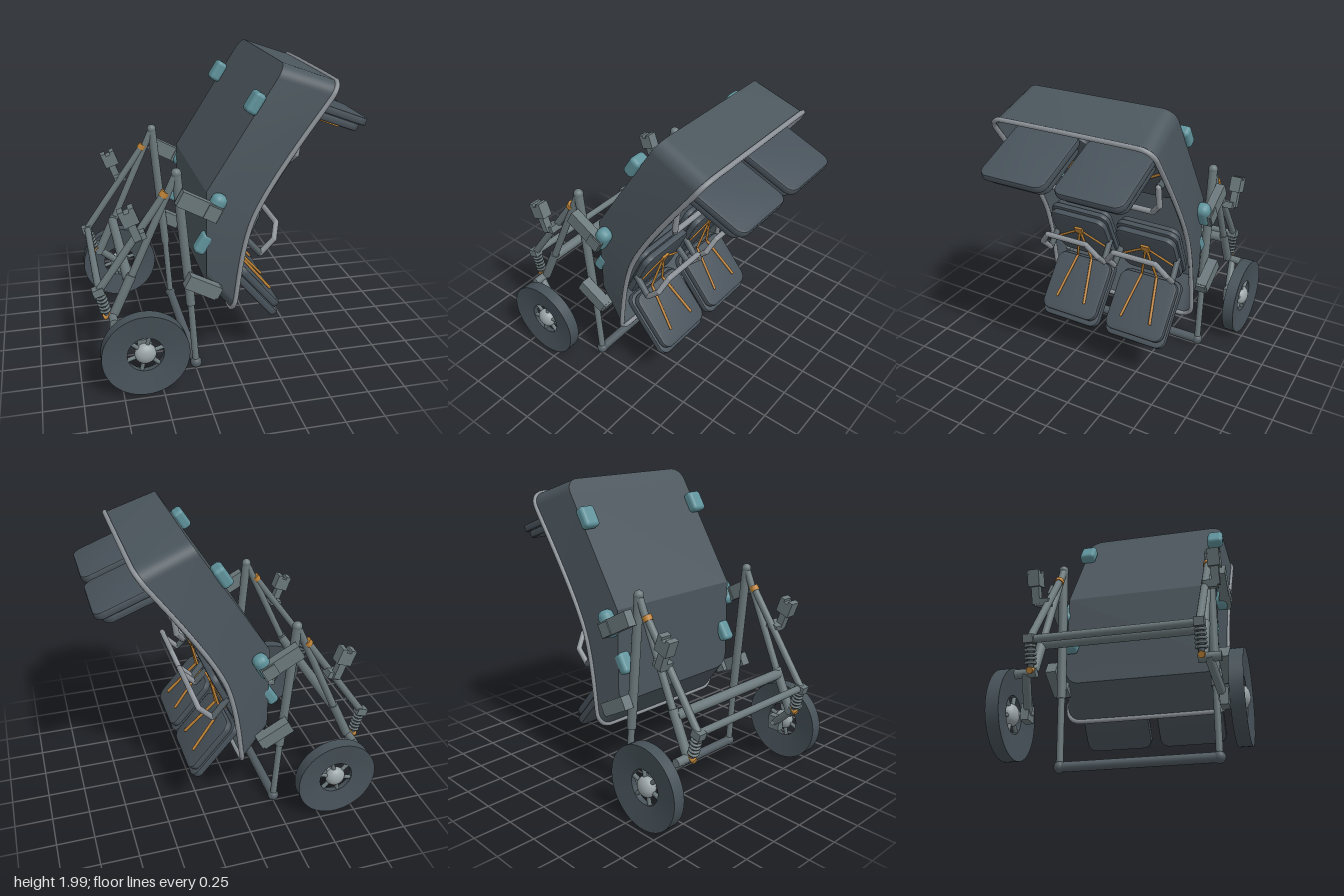
import * as THREE from 'three';
import { toCreasedNormals } from 'three/addons/utils/BufferGeometryUtils.js';
import { RoundedBoxGeometry } from 'three/addons/geometries/RoundedBoxGeometry.js';

const V = (x, y, z) => new THREE.Vector3(x, y, z);
const mat = (name, color, side = THREE.FrontSide) => {
  const m = new THREE.MeshStandardMaterial({ color, side });
  m.name = name;
  return m;
};

export function createModel() {
  const shellMat = mat('slate shell', 0x4b565d, THREE.DoubleSide);
  const padMat = mat('dark upholstery', 0x48525a);
  const tyreMat = mat('tyre', 0x465158);
  const frameMat = mat('frame grey', 0x6b787b);
  const darkMat = mat('dark tube', 0x515c62);
  const rimMat = mat('light grey', 0x8b9197);
  const tealMat = mat('teal', 0x5f929b);
  const orangeMat = mat('orange', 0xbd8236);
  const hubMat = mat('hub grey', 0x9ba5a8);

  const model = new THREE.Group();
  model.name = 'twinSeatPod';

  const add = (parent, name, geo, material, pos = [0, 0, 0], rz = 0) => {
    const m = new THREE.Mesh(geo, material);
    m.name = name;
    m.position.set(...pos);
    m.rotation.z = rz;
    parent.add(m);
    return m;
  };
  // Straight round bar between two points
  const rod = (parent, name, a, b, r, material, sides = 16) => {
    const d = b.clone().sub(a);
    const m = add(parent, name, new THREE.CylinderGeometry(r, r, d.length(), sides), material);
    m.position.copy(a).addScaledVector(d, 0.5);
    m.quaternion.setFromUnitVectors(V(0, 1, 0), d.normalize());
    return m;
  };
  const group = (parent, name) => {
    const g = new THREE.Group();
    g.name = name;
    parent.add(g);
    return g;
  };

  // ---- Tray shell: rounded rectangle laid on a folded line, back loop to rim loop
  const halfLoop = (line, w, r) => {
    const [a, b, c] = line.map(p => V(p[0], p[1], 0));
    const l1 = a.distanceTo(b), l2 = b.distanceTo(c), L = l1 + l2;
    const at = (s, z) => {
      const p = s < l1 ? a.clone().lerp(b, s / l1) : b.clone().lerp(c, (s - l1) / l2);
      p.z = z;
      return p;
    };
    const pts = [];
    for (let i = 0; i <= 8; i++) {
      const t = (i / 8) * Math.PI / 2;
      pts.push(at(r - r * Math.cos(t), w - r + r * Math.sin(t)));
    }
    pts.push(at(l1, w));
    for (let i = 0; i <= 8; i++) {
      const t = (i / 8) * Math.PI / 2;
      pts.push(at(L - r + r * Math.sin(t), w - r + r * Math.cos(t)));
    }
    return pts;
  };
  const mirror = pts => pts.map(p => V(p.x, p.y, -p.z));
  const strips = (rowA, rowB, closed) => {
    const n = rowA.length, pos = [], idx = [];
    [...rowA, ...rowB].forEach(p => pos.push(p.x, p.y, p.z));
    for (let i = 0; i < (closed ? n : n - 1); i++) {
      const j = (i + 1) % n;
      idx.push(i, j, n + i, j, n + j, n + i);
    }
    const g = new THREE.BufferGeometry();
    g.setAttribute('position', new THREE.Float32BufferAttribute(pos, 3));
    g.setIndex(idx);
    return toCreasedNormals(g, 0.45);
  };
  const backHalf = halfLoop([[-0.18, 0.62], [-0.18, 1.24], [0.30, 1.99]], 0.51, 0.09);
  const rimHalf = halfLoop([[-0.015, 0.41], [0.11, 1.05], [0.635, 1.87]], 0.54, 0.09);
  const ring = half => [...half, ...mirror(half).reverse()];
  add(model, 'trayWalls', strips(ring(rimHalf), ring(backHalf), true), shellMat);
  add(model, 'trayBack', strips(mirror(backHalf), backHalf, false), shellMat);
  const rimCurve = new THREE.CatmullRomCurve3(ring(rimHalf), true, 'centripetal');
  add(model, 'trayRim', new THREE.TubeGeometry(rimCurve, 260, 0.016, 8, true), rimMat);

  // ---- Seats
  // Padded slab: x from 0 to len, y from 0 to thick, centred on z
  const pad = (len, width, thick) => {
    const r = 0.05, b = 0.012, l = len - b, w = width / 2 - b;
    const s = new THREE.Shape();
    s.moveTo(b + r, -w);
    s.lineTo(l - r, -w);
    s.absarc(l - r, -w + r, r, -Math.PI / 2, 0);
    s.absarc(l - r, w - r, r, 0, Math.PI / 2);
    s.absarc(b + r, w - r, r, Math.PI / 2, Math.PI);
    s.absarc(b + r, -w + r, r, Math.PI, Math.PI * 1.5);
    const g = new THREE.ExtrudeGeometry(s, {
      depth: thick - 2 * b, bevelSize: b, bevelThickness: b, bevelSegments: 2, curveSegments: 6,
    });
    return toCreasedNormals(g.translate(0, 0, b).rotateX(-Math.PI / 2), 0.7);
  };

  const makeSeat = (name, x, y, z, tilt, flipped) => {
    const seat = group(model, name);
    seat.position.set(x, y, z);
    seat.rotation.set(flipped ? Math.PI : 0, 0, tilt, 'ZYX');
    add(seat, 'cushionTop', pad(0.42, 0.43, 0.05), padMat, [0, -0.05, 0]);
    add(seat, 'cushionBase', pad(0.475, 0.45, 0.05), padMat, [-0.02, -0.1, 0]);

    // Backrest, lap bar and harness share one hinge
    const back = group(seat, 'backrestAssembly');
    back.rotation.z = flipped ? -0.31 : 0;
    const rest = group(back, 'backrest');
    rest.position.set(-0.073, -0.056, 0);
    rest.rotation.z = 0.433 + Math.PI / 2;
    add(rest, 'backrestFront', pad(0.40, 0.43, 0.045), padMat, [0, -0.045, 0]);
    add(rest, 'backrestMiddle', pad(0.42, 0.45, 0.04), padMat, [0, -0.002, 0]);
    add(rest, 'backrestRear', pad(0.41, 0.43, 0.04), padMat, [0, 0.036, 0]);

    const half = [V(0.01, 0.135, 0.215), V(0, 0.26, 0.215), V(-0.046, 0.34, 0.15)];
    const bar = [...half, ...mirror(half).reverse()];
    for (let i = 0; i < bar.length - 1; i++) {
      rod(back, 'lapBar', bar[i], bar[i + 1], 0.019, rimMat, 10);
      add(back, 'lapBarJoint', new THREE.SphereGeometry(0.019, 10, 8), rimMat, bar[i].toArray());
    }
    add(back, 'lapBarJoint', new THREE.SphereGeometry(0.019, 10, 8), rimMat, bar[5].toArray());
    const buckle = V(-0.148, 0.214, 0);
    add(back, 'buckle', new THREE.BoxGeometry(0.03, 0.05, 0.06), orangeMat, buckle.toArray(), 0.43);
    for (const s of [-1, 1]) {
      rod(back, 'lapBarArm', V(-0.15, 0.13, s * 0.205), V(0.01, 0.135, s * 0.215), 0.022, darkMat, 10);
      rod(back, 'upperStrap', buckle, V(0, 0.012, s * 0.055), 0.009, orangeMat, 6);
      rod(back, 'sideStrap', buckle, V(-0.09, 0.09, s * 0.2), 0.009, orangeMat, 6);
      rod(seat, 'lowerStrap', V(0, 0.012, s * 0.055), V(0.32, 0.012, s * 0.11), 0.01, orangeMat, 6);
    }
  };
  for (const z of [-0.255, 0.255]) {
    makeSeat('lowerSeat', 0.07, 0.70, z, -0.87, false);
    makeSeat('upperSeat', 0.41, 1.685, z, -0.365, true);
  }

  // ---- Side frames, wheels and mounts
  for (const s of [-1, 1]) {
    const side = group(model, s > 0 ? 'frontSideFrame' : 'rearSideFrame');
    const z = s * 0.495, o = s * 0.565;
    const apex = V(-0.36, 1.37, z);
    rod(side, 'mainLegUpper', apex, V(-0.28, 0.48, z), 0.03, frameMat);
    rod(side, 'mainLegLower', V(-0.28, 0.48, z), V(-0.25, 0.045, z), 0.022, frameMat);
    add(side, 'foot', new THREE.SphereGeometry(0.038, 16, 12), darkMat, [-0.25, 0.045, z]);
    add(side, 'apexJoint', new THREE.SphereGeometry(0.032, 16, 12), frameMat, apex.toArray());
    rod(side, 'rearLegUpper', apex, V(-0.67, 0.68, z), 0.024, frameMat);
    rod(side, 'rearLegLower', V(-0.65, 0.73, z), V(-0.77, 0.47, z), 0.031, frameMat);
    rod(side, 'brace', V(-0.43, 1.25, z), V(-0.86, 0.64, z), 0.024, frameMat);
    rod(side, 'braceRing', V(-0.425, 1.257, z), V(-0.445, 1.228, z), 0.03, orangeMat);

    // Spring and trailing arm
    add(side, 'springMount', new THREE.BoxGeometry(0.07, 0.05, 0.06), frameMat, [-0.86, 0.64, z], 0.3);
    const top = V(-0.85, 0.62, z), low = V(-0.81, 0.46, z);
    rod(side, 'springCore', top, low, 0.018, darkMat);
    for (let i = 0; i < 5; i++) {
      const c = top.clone().lerp(low, 0.12 + i * 0.15);
      const coil = add(side, 'springCoil', new THREE.TorusGeometry(0.028, 0.009, 6, 16), frameMat, c.toArray());
      coil.rotation.set(Math.PI / 2, 0.25, 0);
    }
    rod(side, 'springFoot', V(-0.835, 0.455, z), V(-0.79, 0.475, z), 0.02, orangeMat);
    rod(side, 'trailingArm', V(-0.79, 0.46, s * 0.53), V(-0.6, 0.28, s * 0.58), 0.026, frameMat);
    rod(side, 'armPivot', V(-0.78, 0.46, s * 0.47), V(-0.78, 0.46, s * 0.6), 0.028, frameMat);
    add(side, 'axleBlock', new THREE.BoxGeometry(0.09, 0.1, 0.05), frameMat, [-0.6, 0.28, s * 0.585]);
    rod(side, 'axle', V(-0.6, 0.28, s * 0.55), V(-0.6, 0.28, s * 0.68), 0.015, hubMat);

    // Dished wheel
    const wheel = group(side, 'wheel');
    wheel.position.set(s > 0 ? -0.605 : -0.618, s > 0 ? 0.277 : 0.274, s * 0.68);
    const profile = [[0.115, -0.018], [0.274, -0.04], [0.274, 0.04], [0.115, 0.018], [0.115, -0.018]];
    const tyre = new THREE.LatheGeometry(profile.map(p => new THREE.Vector2(...p)), 64);
    add(wheel, 'tyre', toCreasedNormals(tyre.rotateX(Math.PI / 2), 0.4), tyreMat);
    for (let i = 0; i < 6; i++) {
      const t = (i / 6) * Math.PI * 2 + 0.3;
      const c = Math.cos(t), n = Math.sin(t);
      rod(wheel, 'spoke', V(c * 0.04, n * 0.04, 0), V(c * 0.125, n * 0.125, 0), 0.014, frameMat, 8);
    }
    add(wheel, 'hub', new THREE.SphereGeometry(0.068, 24, 16), hubMat).scale.z = 0.7;

    // Grab block on a short stem
    add(side, 'grabStem', new THREE.BoxGeometry(0.05, 0.14, 0.05), frameMat, [-0.635, 1.06, o], 0.35);
    add(side, 'grabBlock', new THREE.BoxGeometry(0.1, 0.085, 0.075), frameMat, [-0.66, 1.14, o], 0.35);
    for (const k of [-1, 1])
      add(side, 'grabLip', new THREE.BoxGeometry(0.035, 0.03, 0.075), frameMat,
        [-0.677 + k * 0.031, 1.185 + k * 0.011, o], 0.35);
    add(side, 'grabFoot', new THREE.BoxGeometry(0.08, 0.045, 0.09), frameMat, [-0.6, 1.01, s * 0.53], 0.35);

    // Brackets joining the frame to the tray
    add(side, 'upperBracket', new THREE.BoxGeometry(0.28, 0.1, 0.06), frameMat, [-0.235, 1.175, o], -0.5);
    add(side, 'bracketPlate', new THREE.BoxGeometry(0.09, 0.09, 0.075), frameMat, [-0.16, 1.13, o], -0.5);
    add(side, 'upperPad', new RoundedBoxGeometry(0.1, 0.18, 0.1, 4, 0.045), tealMat, [-0.13, 1.15, s * 0.54], -0.5);
    add(side, 'lowerBracket', new THREE.BoxGeometry(0.22, 0.09, 0.07), frameMat, [-0.22, 0.635, s * 0.56], -0.5);
    add(side, 'lowerBracketEnd', new THREE.BoxGeometry(0.07, 0.075, 0.1), frameMat, [-0.14, 0.595, s * 0.54], -0.5);

    // Teal bumpers on the back of the tray
    add(side, 'topBumper', new RoundedBoxGeometry(0.075, 0.14, 0.11, 4, 0.025), tealMat, [0.12, 1.77, s * 0.48], -0.56);
    add(side, 'backBumper', new RoundedBoxGeometry(0.075, 0.14, 0.09, 4, 0.025), tealMat, [-0.195, 0.89, s * 0.47], -0.56);
  }

  // ---- Cross bars
  const cross = (name, x, y, r, material) => rod(model, name, V(x, y, -0.49), V(x, y, 0.49), r, material);
  cross('footBar', -0.25, 0.045, 0.032, darkMat);
  cross('rearCrossBar', -0.855, 0.64, 0.024, frameMat);
  cross('middleCrossBar', -0.67, 0.69, 0.034, frameMat);

  return model;
}
